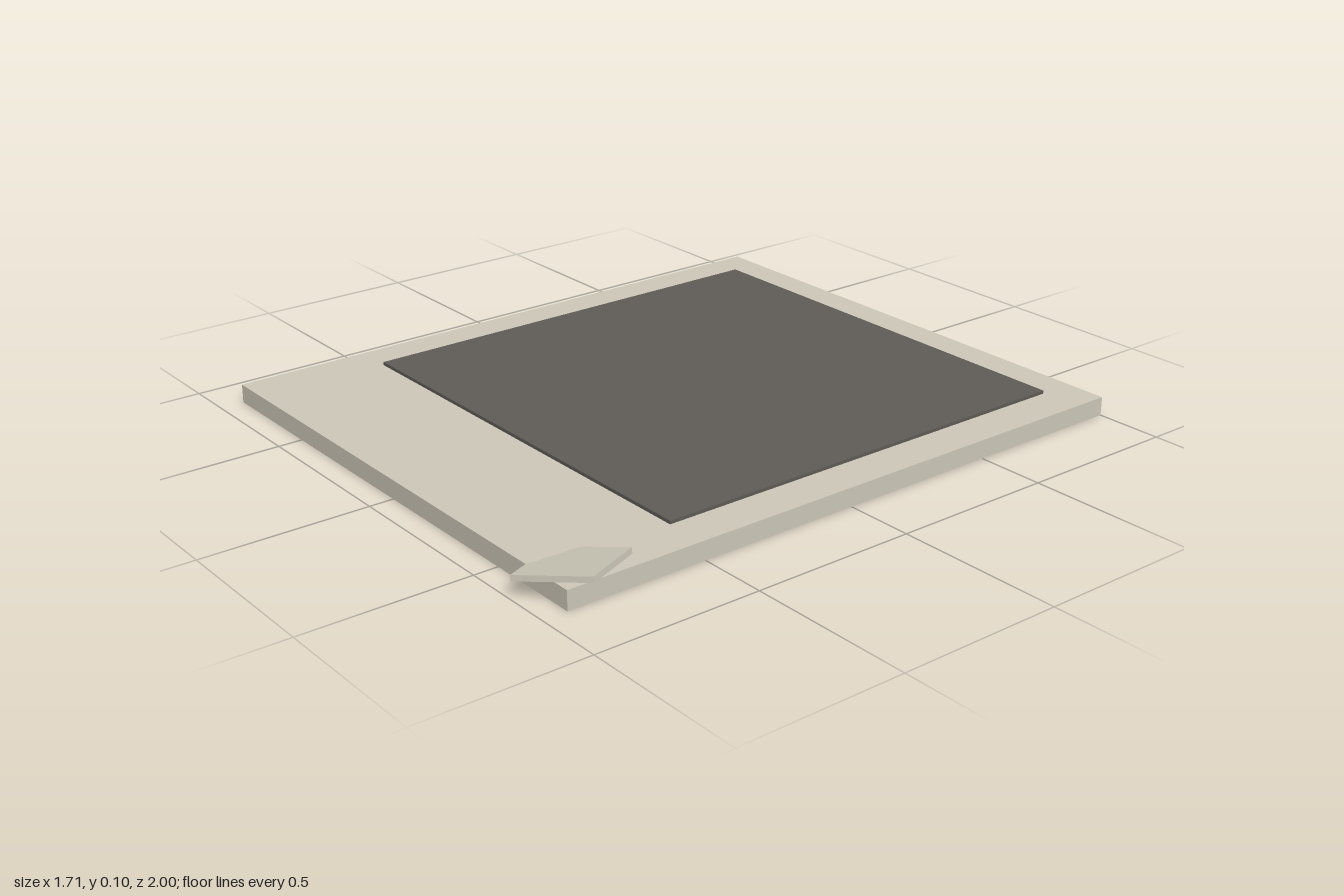
import * as THREE from 'three';

const cream = new THREE.MeshStandardMaterial({ name: 'cream', color: 0xccc7b8 });
const charcoal = new THREE.MeshStandardMaterial({ name: 'charcoal', color: 0x5f5c57 });

// Box spanning two opposite corners
function slab(name, min, max, material) {
  const size = max.map((v, i) => v - min[i]);
  const mesh = new THREE.Mesh(new THREE.BoxGeometry(...size), material);
  mesh.name = name;
  mesh.position.set(...max.map((v, i) => (v + min[i]) / 2));
  return mesh;
}

export function createModel() {
  const group = new THREE.Group();
  group.name = 'photoCard';

  // Card body, with a wider margin along the front
  group.add(slab('cardFrame', [-0.855, 0, -1], [0.795, 0.057, 0.927], cream));

  // Dark square picture area, slightly proud of the card
  group.add(slab('picturePanel', [-0.73, 0.055, -0.885], [0.67, 0.067, 0.515], charcoal));

  // Tilted tab at the front left corner, sunk into the card along its inner edge
  const thickness = 0.016;
  const back = new THREE.Vector3(0.75, 0.082, 0.70);
  const outer = new THREE.Vector3(0.853, 0.105, 0.89);
  const front = new THREE.Vector3(0.66, 0.065, 0.997);
  const along = outer.clone().sub(back);
  const across = front.clone().sub(outer);
  const tab = new THREE.Mesh(
    new THREE.BoxGeometry(along.length(), thickness, across.length()), cream);
  tab.name = 'cornerTab';
  const z = across.normalize();
  const y = z.clone().cross(along).normalize();
  const x = y.clone().cross(z);
  tab.quaternion.setFromRotationMatrix(new THREE.Matrix4().makeBasis(x, y, z));
  tab.position.copy(back).add(front).multiplyScalar(0.5).addScaledVector(y, -thickness / 2);
  group.add(tab);

  return group;
}
